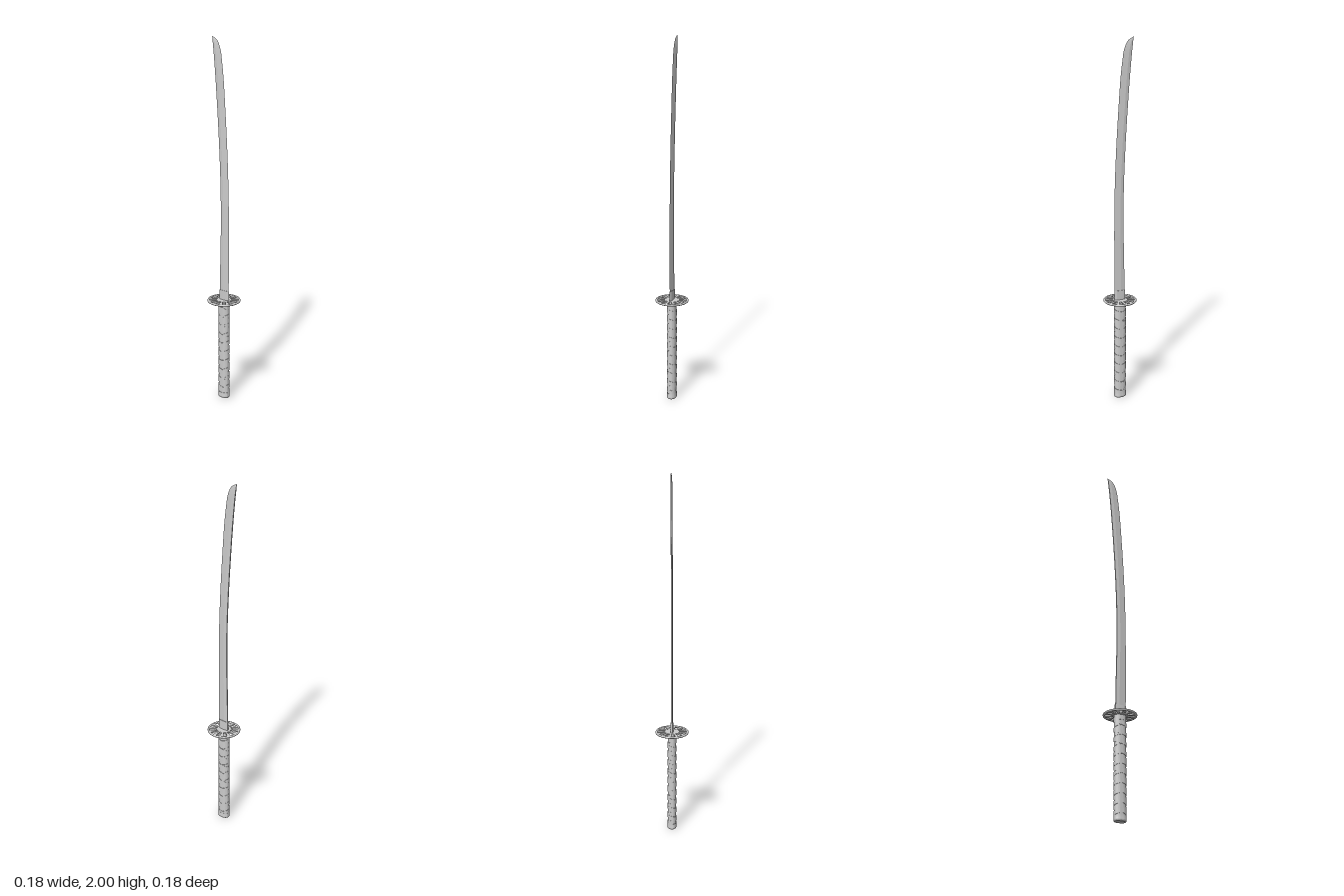
import * as THREE from 'three';
import { toCreasedNormals } from 'three/addons/utils/BufferGeometryUtils.js';

const material = new THREE.MeshStandardMaterial({ color: 0xcccccc });

// Skin a list of closed rings (all with the same point count) and cap both ends.
function loft(rings, crease = 0.6) {
  const n = rings[0].length, pos = rings.flat(2), idx = [];
  for (let i = 0; i < rings.length - 1; i++) {
    for (let j = 0; j < n; j++) {
      const k = (j + 1) % n, a = i * n + j, b = i * n + k;
      idx.push(a, b, b + n, a, b + n, a + n);
    }
  }
  const last = (rings.length - 1) * n;
  for (let j = 1; j < n - 1; j++) {
    idx.push(0, j + 1, j, last, last + j, last + j + 1);
  }
  const g = new THREE.BufferGeometry();
  g.setAttribute('position', new THREE.Float32BufferAttribute(pos, 3));
  g.setIndex(idx);
  return toCreasedNormals(g, crease);
}

// Point on the slightly squared oval of the grip.
function ovalPoint(angle, rx, rz, y) {
  const c = Math.cos(angle), s = Math.sin(angle);
  const soft = (v) => Math.sign(v) * Math.abs(v) ** 0.88;
  return [rx * soft(c), y, -rz * soft(s)];
}

// Oval solid from rows of [y, x radius, z radius].
function ovalSolid(rows, sides = 40) {
  return loft(rows.map(([y, rx, rz]) =>
    Array.from({ length: sides }, (_, j) => ovalPoint(j / sides * Math.PI * 2, rx, rz, y))));
}

// Cord wound around the grip; strands of both directions leave diamonds on the sides.
function wrapStrand(direction, lift) {
  const pitch = 0.052, y0 = 0.03, y1 = 0.542, steps = 32;
  const half = pitch * 0.235, rings = [];
  const clamp = (y) => Math.min(y1, Math.max(y0, y));
  const count = Math.round((y1 - y0) / pitch * steps);
  for (let i = 0; i <= count; i++) {
    const angle = direction * i / steps * Math.PI * 2;
    const y = y0 + i / steps * pitch;
    const at = (r, dy) => ovalPoint(angle, 0.0225 + r, 0.0312 + r, clamp(y + dy));
    const ring = [at(lift, -half), at(-0.001, -half), at(-0.001, half), at(lift, half)];
    rings.push(direction > 0 ? ring : ring.reverse());
  }
  return loft(rings);
}

// Curved blade from rows of edge and spine positions.
function bladeGeometry() {
  const curve = new THREE.CatmullRomCurve3([
    // edge z, y, spine z
    [0.033, 0.57, -0.027], [0.034, 0.8, -0.023], [0.034, 1.0, -0.019],
    [0.031, 1.2, -0.021], [0.023, 1.4, -0.029], [0.011, 1.6, -0.041],
    [-0.004, 1.8, -0.056], [-0.019, 1.92, -0.067],
  ].map((p) => new THREE.Vector3(...p)));
  const rows = curve.getPoints(42).map((p) => [p.x, p.y, p.z]);
  rows.push([-0.026, 1.945, -0.07], [-0.035, 1.967, -0.073], [-0.046, 1.983, -0.075],
    [-0.06, 1.993, -0.077], [-0.077, 2.0, -0.079]);
  return loft(rows.map(([edge, y, spine]) => {
    const scale = Math.min(1, (edge - spine) / 0.045);
    const t = 0.0052 * scale, s = 0.0035 * scale;
    const ridge = THREE.MathUtils.lerp(spine, edge, 0.35);
    return [[0, y, edge], [t, y, ridge], [s, y, spine], [-s, y, spine], [-t, y, ridge]];
  }), 0.15);
}

// Pierced guard plate with twelve radial slots.
function guardPlate() {
  const shape = new THREE.Shape().absarc(0, 0, 0.086, 0, Math.PI * 2);
  for (let i = 0; i < 12; i++) {
    const a = THREE.MathUtils.degToRad(10 + i * 30), c = Math.cos(a), s = Math.sin(a);
    const corners = [[0.04, -0.0065], [0.04, 0.0065], [0.081, 0.0105], [0.081, -0.0105]];
    shape.holes.push(new THREE.Path(corners.map(([r, w]) =>
      new THREE.Vector2(r * c - w * s, r * s + w * c))));
  }
  const g = new THREE.ExtrudeGeometry(shape, { depth: 0.008, bevelEnabled: false, curveSegments: 48 });
  return g.rotateX(-Math.PI / 2).translate(0, 0.567, 0);
}

export function createModel() {
  const model = new THREE.Group();
  model.name = 'curvedSword';
  const add = (name, geometry) => {
    const mesh = new THREE.Mesh(geometry, material);
    mesh.name = name;
    model.add(mesh);
    return mesh;
  };

  add('blade', bladeGeometry());

  // Collar at the root of the blade
  add('bladeCollar', loft([0.57, 0.628].map((y) => [
    [0, y, 0.034], [0.005, y, 0.022], [0.0075, y, -0.01], [0.0055, y, -0.028],
    [-0.0055, y, -0.028], [-0.0075, y, -0.01], [-0.005, y, 0.022],
  ]), 0.2));

  // Guard
  add('guardPlate', guardPlate());
  add('guardRim', new THREE.TorusGeometry(0.0845, 0.006, 12, 64).rotateX(Math.PI / 2))
    .position.y = 0.571;

  // Grip
  add('gripCore', ovalSolid([[0.01, 0.0225, 0.0312], [0.567, 0.0225, 0.0312]]));
  add('gripWrapRising', wrapStrand(1, 0.0016));
  add('gripWrapFalling', wrapStrand(-1, 0.002));
  add('gripFerrule', ovalSolid([[0.54, 0.0245, 0.0332], [0.568, 0.0245, 0.0332]]));
  add('pommelCap', ovalSolid([
    [0, 0.021, 0.03], [0.002, 0.0235, 0.0325], [0.005, 0.025, 0.034],
    [0.012, 0.025, 0.034], [0.015, 0.0245, 0.0335], [0.032, 0.0245, 0.0332],
  ]));

  return model;
}
